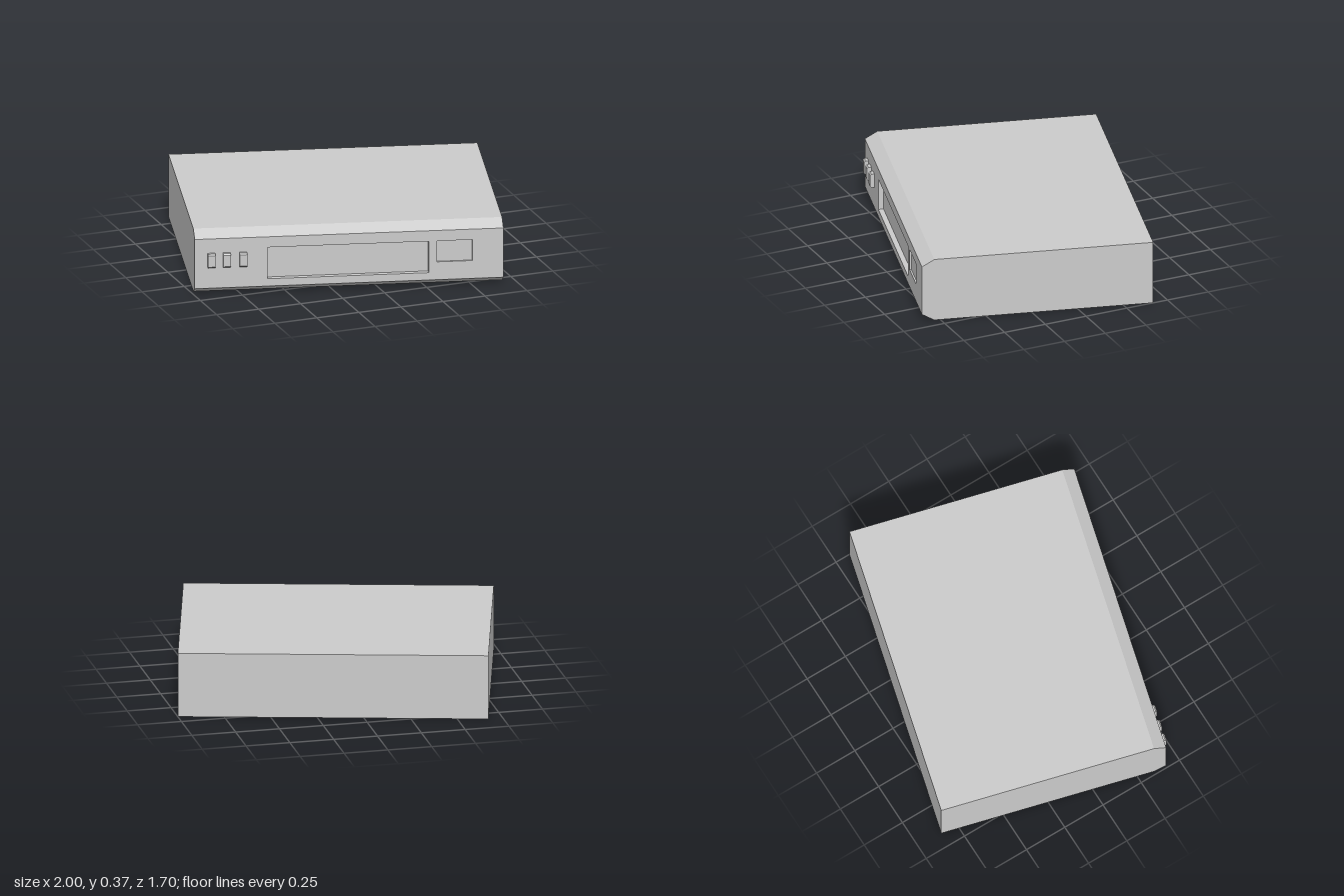
import * as THREE from 'three';

const W = 1.724, D = 1.306, H = 0.37;      // overall width, depth, height
const CH_Y = 0.04, CH_Z = 0.07;            // chamfer along the front edges
const RECESS = 0.03;                       // thickness of the front plate

const mat = new THREE.MeshStandardMaterial({ color: 0xcccccc, flatShading: true });

function add(parent, name, geometry, x = 0, y = 0, z = 0) {
  const mesh = new THREE.Mesh(geometry, mat);
  mesh.name = name;
  mesh.position.set(x, y, z);
  parent.add(mesh);
  return mesh;
}

// Side profile with both front corners cut, extruded along x and centred there
function chamferedBlock(width, back, front, y0, y1, cutBack, cutY, frontCutY = cutY) {
  const s = new THREE.Shape();
  // shape x is -z, so the extrusion turns into +x after a quarter turn
  s.moveTo(-back, y0);
  s.lineTo(-back, y1);
  s.lineTo(-(front - cutBack), y1);
  s.lineTo(-front, y1 - frontCutY);
  s.lineTo(-front, y0 + frontCutY);
  s.lineTo(-(front - cutBack), y0);
  s.closePath();
  const g = new THREE.ExtrudeGeometry(s, { depth: width, bevelEnabled: false });
  return g.translate(0, 0, -width / 2).rotateY(Math.PI / 2);
}

function rectPath(x0, x1, y0, y1) {
  const p = new THREE.Path();
  p.moveTo(x0, y0);
  p.lineTo(x0, y1);
  p.lineTo(x1, y1);
  p.lineTo(x1, y0);
  p.closePath();
  return p;
}

export function createModel() {
  const group = new THREE.Group();
  group.name = 'mediaPlayer';
  const unit = new THREE.Group();
  unit.name = 'turnedUnit';
  unit.rotation.y = -0.257;
  group.add(unit);

  const front = D / 2;
  const seam = front - RECESS;
  const spread = CH_Y * RECESS / CH_Z;     // chamfer height covered by the plate

  // Case, ending at the floor of the front recesses
  add(unit, 'case', chamferedBlock(W, -D / 2, seam, 0, H, CH_Z - RECESS, CH_Y - spread));

  // Front plate with openings for the slot and the display window
  const plate = new THREE.Shape();
  plate.moveTo(-W / 2, CH_Y);
  plate.lineTo(W / 2, CH_Y);
  plate.lineTo(W / 2, H - CH_Y);
  plate.lineTo(-W / 2, H - CH_Y);
  plate.closePath();
  plate.holes.push(rectPath(-0.455, 0.445, 0.083, 0.268), rectPath(0.491, 0.688, 0.145, 0.268));
  const plateGeo = new THREE.ExtrudeGeometry(plate, { depth: RECESS, bevelEnabled: false });
  // Widen the back of the outer border to carry on the chamfer
  const pos = plateGeo.attributes.position;
  for (let i = 0; i < pos.count; i++) {
    if (pos.getZ(i) > 1e-4) continue;
    const y = pos.getY(i);
    if (y < CH_Y + 1e-4) pos.setY(i, y - spread);
    if (y > H - CH_Y - 1e-4) pos.setY(i, y + spread);
  }
  plateGeo.computeVertexNormals();
  add(unit, 'frontPlate', plateGeo, 0, 0, seam);

  // Shallow display window
  add(unit, 'displayWindow', new THREE.BoxGeometry(0.197, 0.123, 0.02), 0.5895, 0.2065, seam + 0.01);

  // Three raised buttons
  for (const x of [-0.769, -0.684, -0.592]) {
    add(unit, 'button', chamferedBlock(0.042, -0.005, 0.025, -0.041, 0.041, 0.008, 0.008), x, 0.205, front);
  }

  return group;
}
